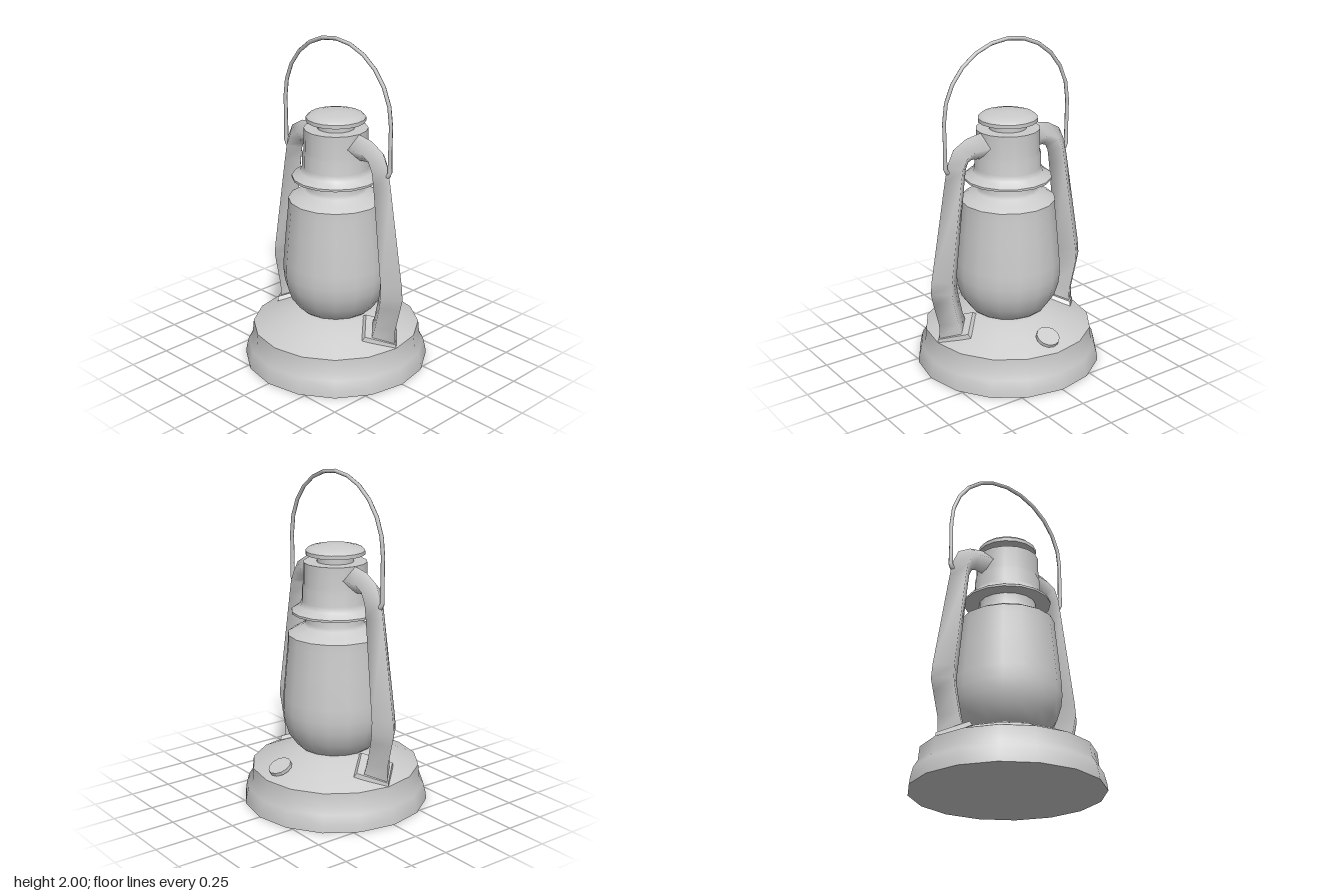
import * as THREE from 'three';

const smooth = new THREE.MeshStandardMaterial({ color: 0xcccccc, side: THREE.DoubleSide });
const flat = new THREE.MeshStandardMaterial({ color: 0xcccccc, flatShading: true });

// Turned part: each profile is smooth in itself, with a sharp edge between profiles.
function turned(name, ...profiles) {
  const part = new THREE.Group();
  part.name = name;
  for (const profile of profiles) {
    const points = profile.map(([r, y]) => new THREE.Vector2(r, y));
    part.add(new THREE.Mesh(new THREE.LatheGeometry(points, 16), smooth));
  }
  return part;
}

// Tapering tube along [x, y, radius] stations in the z = 0 plane.
function sweep(name, stations, sides) {
  const positions = [], index = [];
  stations.forEach(([x, y, r], i) => {
    const before = stations[Math.max(i - 1, 0)];
    const after = stations[Math.min(i + 1, stations.length - 1)];
    const t = new THREE.Vector2(after[0] - before[0], after[1] - before[1]).normalize();
    for (let j = 0; j < sides; j++) {
      const a = (j / sides) * Math.PI * 2;
      positions.push(x - t.y * r * Math.cos(a), y + t.x * r * Math.cos(a), r * Math.sin(a));
      if (i < stations.length - 1) {
        const k = (j + 1) % sides, n = i * sides;
        index.push(n + j, n + k, n + sides + k, n + j, n + sides + k, n + sides + j);
      }
    }
  });
  const geometry = new THREE.BufferGeometry();
  geometry.setAttribute('position', new THREE.Float32BufferAttribute(positions, 3));
  geometry.setIndex(index);
  geometry.computeVertexNormals();
  const mesh = new THREE.Mesh(geometry, smooth);
  mesh.name = name;
  return mesh;
}

export function createModel() {
  const model = new THREE.Group();
  model.name = 'lantern';

  // Fuel tank with its sloping top
  model.add(turned('tank',
    [[0, 0], [0.56, 0]],
    [[0.56, 0], [0.555, 0.04], [0.54, 0.1], [0.515, 0.14], [0.507, 0.22]],
    [[0.507, 0.22], [0.37, 0.283], [0.25, 0.33], [0.2, 0.337], [0, 0.337]]));

  // Glass globe
  model.add(turned('globe',
    [[0.21, 0.33], [0.235, 0.35], [0.285, 0.42], [0.31, 0.5], [0.318, 0.57],
      [0.315, 0.65], [0.297, 0.85], [0.284, 0.98], [0.282, 1.035]]));

  // Shoulder and neck above the globe
  model.add(turned('globeCollar',
    [[0.282, 1.035], [0.24, 1.06], [0.185, 1.085], [0.17, 1.105], [0.17, 1.17]]));

  // Chimney hood with a flared skirt
  model.add(turned('hood',
    [[0, 1.162], [0.26, 1.162]],
    [[0.26, 1.162], [0.26, 1.175]],
    [[0.26, 1.175], [0.212, 1.205], [0.198, 1.235], [0.197, 1.315], [0.188, 1.335], [0.188, 1.465]],
    [[0.188, 1.465], [0, 1.465]]));

  // Cap on a short stem
  model.add(turned('capStem', [[0.11, 1.46], [0.11, 1.515]]));
  model.add(turned('cap',
    [[0, 1.508], [0.175, 1.508]],
    [[0.175, 1.508], [0.175, 1.53]],
    [[0.175, 1.53], [0.155, 1.548], [0.1, 1.561], [0, 1.567]]));

  // Side air tubes with mounting plates
  for (const side of [1, -1]) {
    const name = side > 0 ? 'left' : 'right';
    const stations = [
      [0.15, 1.387, 0.078], [0.2, 1.387, 0.076], [0.27, 1.382, 0.068], [0.325, 1.352, 0.068],
      [0.355, 1.29, 0.066], [0.37, 1.2, 0.068], [0.453, 0.62, 0.086], [0.457, 0.55, 0.09],
      [0.445, 0.49, 0.087], [0.412, 0.35, 0.085], [0.395, 0.26, 0.1],
    ].map(([x, y, r]) => [x * side, y, r]);
    model.add(sweep(name + 'AirTube', stations, 4));

    const plate = new THREE.Mesh(new THREE.CylinderGeometry(0.135, 0.15, 0.025, 4), flat);
    plate.name = name + 'TubePlate';
    plate.position.set(0.375 * side, 0.284, 0);
    plate.rotation.z = -0.418 * side;
    model.add(plate);
  }

  // Wire carrying handle, hooked into the air tubes at both ends
  const hook = [[0.395, 1.27, 0.001], [0.395, 1.27, 0.015], [0.418, 1.272, 0.015], [0.43, 1.295, 0.014], [0.43, 1.42, 0.012]];
  const arc = [];
  for (let i = 0; i <= 12; i++) {
    const a = (i / 12) * Math.PI;
    arc.push([0.432 * Math.cos(a), 1.565 + 0.423 * Math.sin(a), 0.012]);
  }
  const mirroredHook = hook.map(([x, y, r]) => [-x, y, r]).reverse();
  model.add(sweep('handle', [...hook, ...arc, ...mirroredHook], 6));

  // Filler cap on the back slope of the tank
  const filler = new THREE.Mesh(new THREE.CylinderGeometry(0.07, 0.07, 0.022, 12), flat);
  filler.name = 'fillerCap';
  filler.position.set(0, 0.28, -0.408);
  filler.rotation.x = -0.44;
  model.add(filler);

  // Short filler neck under the cap
  const neck = new THREE.Mesh(new THREE.CylinderGeometry(0.05, 0.05, 0.04, 12), flat);
  neck.name = 'fillerNeck';
  neck.position.set(0, 0.262, -0.4);
  neck.rotation.x = -0.44;
  model.add(neck);

  return model;
}
